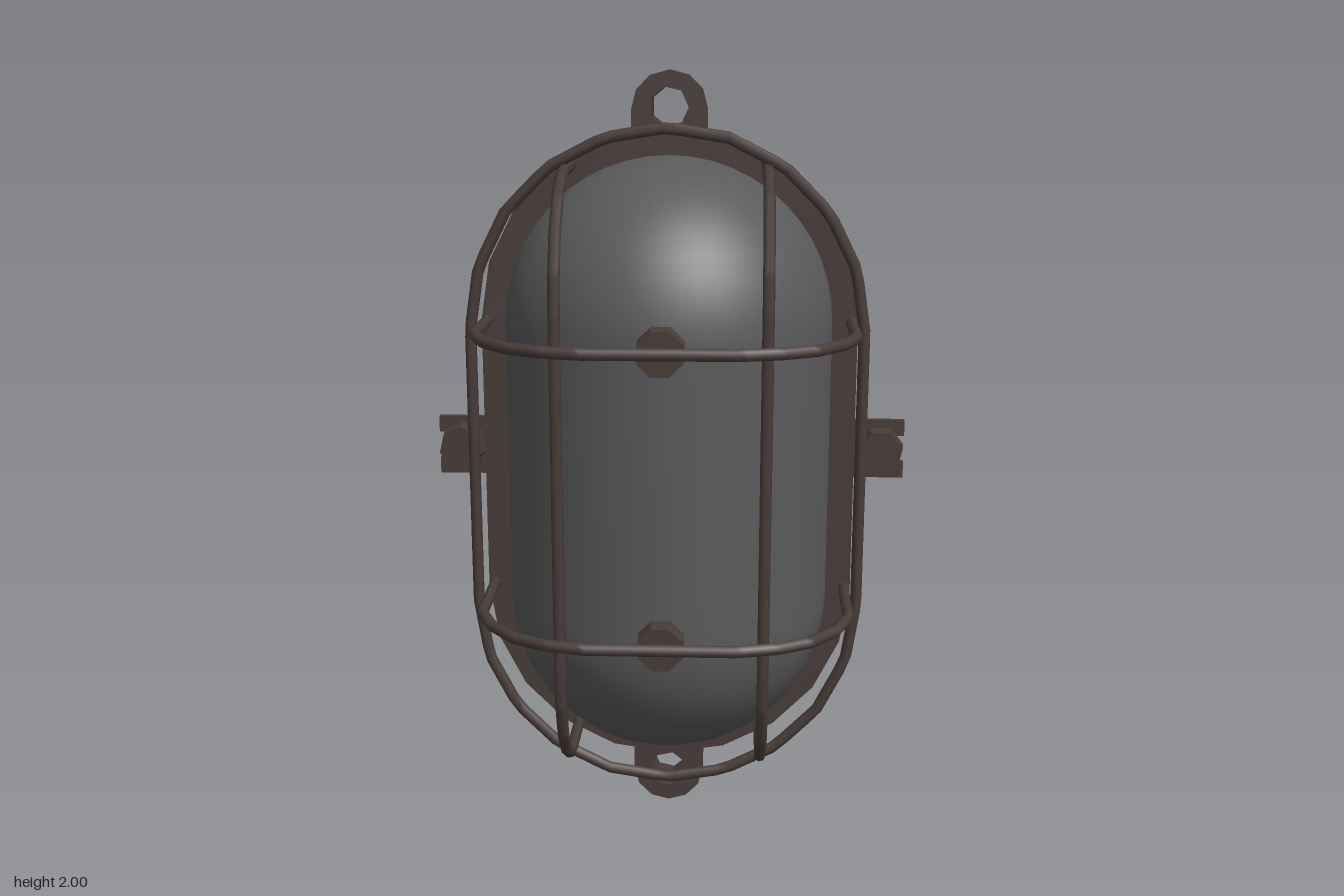
import * as THREE from 'three';

const HALF = 0.365; // half length of the straight sides of every oval
const MID = 1; // height of the lamp's centre

export function createModel() {
  const frame = new THREE.MeshStandardMaterial({ color: 0x483c3a });
  frame.name = 'dark brown metal';
  const glass = new THREE.MeshStandardMaterial({ color: 0x5a5a5c });
  glass.name = 'smoked grey glass';

  const lamp = new THREE.Group();
  lamp.name = 'bulkheadLamp';

  function add(name, geometry, material = frame, parent = lamp) {
    const mesh = new THREE.Mesh(geometry, material);
    mesh.name = name;
    parent.add(mesh);
    return mesh;
  }

  // Outline of an oval with straight sides, centred on the lamp
  function ovalPoints(radius, steps = 10) {
    const points = [];
    for (const side of [1, -1]) {
      for (let i = 0; i <= steps; i++) {
        const a = (i / steps) * Math.PI + (side < 0 ? Math.PI : 0);
        points.push(new THREE.Vector2(radius * Math.cos(a), MID + side * HALF + radius * Math.sin(a)));
      }
    }
    return points;
  }

  function plate(shape, z0, z1) {
    const g = new THREE.ExtrudeGeometry(shape, { depth: z1 - z0, bevelEnabled: false });
    return g.translate(0, 0, z0);
  }

  // Round wire along straight pieces
  function wire(points, closed = false) {
    const path = new THREE.CurvePath();
    const count = closed ? points.length : points.length - 1;
    for (let i = 0; i < count; i++) {
      path.add(new THREE.LineCurve3(points[i], points[(i + 1) % points.length]));
    }
    return new THREE.TubeGeometry(path, 110, 0.015, 7, closed);
  }

  // Housing: back plate, body and front flange
  add('backPlate', plate(new THREE.Shape(ovalPoints(0.49)), -0.326, -0.308));
  add('housingBody', plate(new THREE.Shape(ovalPoints(0.462)), -0.31, -0.21));
  add('frontFlange', plate(new THREE.Shape(ovalPoints(0.492)), -0.216, -0.196));

  // Glass dome: half of a capsule, a little deeper than wide
  const profile = [];
  for (const side of [-1, 1]) {
    for (let i = 0; i <= 12; i++) {
      const a = (side < 0 ? i - 12 : i) / 12 * Math.PI / 2;
      profile.push(new THREE.Vector2(Math.max(0, 0.425 * Math.cos(a)), side * HALF + 0.425 * Math.sin(a)));
    }
  }
  const dome = new THREE.LatheGeometry(profile, 28, -Math.PI / 2, Math.PI);
  dome.scale(1, 1, 0.446 / 0.425).translate(0, MID, -0.197);
  add('glassDome', dome, glass);

  // Cage: oval ring, two upright wires and two cross wires
  const ring = ovalPoints(0.498, 10).map((p) => new THREE.Vector3(p.x, p.y, -0.055));
  add('cageRing', wire(ring, true));

  const uprightHalf = [
    [0.768, -0.2], [0.76, 0.0], [0.745, 0.06], [0.705, 0.13],
    [0.63, 0.2], [0.54, 0.238], [0.45, 0.25],
  ];
  const crossHalf = [
    [0.475, -0.2], [0.472, 0.05], [0.435, 0.145], [0.365, 0.232],
    [0.285, 0.278], [0.185, 0.305],
  ];
  const mirrored = (half) => [...half, ...half.slice().reverse().map(([a, z]) => [-a, z])];
  for (const x of [-0.25, 0.25]) {
    add('cageUpright', wire(mirrored(uprightHalf).map(([y, z]) => new THREE.Vector3(x, MID + y, z))));
  }
  for (const y of [0.64, 1.365]) {
    add('cageCrossWire', wire(mirrored(crossHalf).map(([x, z]) => new THREE.Vector3(x, y, z))));
    // Boss between glass and cross wire
    const boss = new THREE.CylinderGeometry(0.058, 0.062, 0.1, 8).toNonIndexed();
    boss.rotateY(Math.PI / 8).rotateX(Math.PI / 2).translate(0, y, 0.255);
    boss.computeVertexNormals();
    add('cageBoss', boss);
  }

  // Mounting lugs at the top and bottom, each two plates with a sleeve between
  function lugShape(radius) {
    const points = [new THREE.Vector2(-radius, 0.8), new THREE.Vector2(radius, 0.8)];
    for (let i = 0; i <= 6; i++) {
      const a = (i / 6) * Math.PI;
      points.push(new THREE.Vector2(radius * Math.cos(a), 0.904 + radius * Math.sin(a)));
    }
    const shape = new THREE.Shape(points);
    const hole = [];
    for (let i = 0; i < 7; i++) {
      const a = (i / 7) * Math.PI * 2;
      hole.push(new THREE.Vector2(0.05 * Math.cos(a), 0.908 + 0.052 * Math.sin(a)));
    }
    shape.holes.push(new THREE.Path(hole));
    return shape;
  }
  for (const turn of [0, Math.PI]) {
    const lug = new THREE.Group();
    lug.name = turn ? 'bottomLug' : 'topLug';
    add('lugBackPlate', plate(lugShape(0.096), -0.325, -0.307), frame, lug);
    add('lugSleeve', plate(lugShape(0.078), -0.308, -0.214), frame, lug);
    add('lugFrontPlate', plate(lugShape(0.096), -0.215, -0.197), frame, lug);
    lug.position.y = MID;
    lug.rotation.z = turn;
    lamp.add(lug);
  }

  // Slotted side tabs with a bolt head on each
  const tab = new THREE.Shape([
    [0.44, -0.08], [0.635, -0.08], [0.635, -0.036], [0.545, -0.036], [0.525, 0],
    [0.545, 0.036], [0.635, 0.036], [0.635, 0.08], [0.44, 0.08],
  ].map(([x, y]) => new THREE.Vector2(x, y)));
  for (const turn of [0, Math.PI]) {
    const side = new THREE.Group();
    side.name = turn ? 'rightTab' : 'leftTab';
    add('slottedTab', plate(tab, -0.325, -0.306), frame, side);
    const bolt = new THREE.CylinderGeometry(0.06, 0.065, 0.044, 7).toNonIndexed();
    bolt.rotateX(Math.PI / 2).translate(0.57, 0, -0.284);
    bolt.computeVertexNormals();
    add('boltHead', bolt, frame, side);
    side.position.y = MID;
    side.rotation.z = turn;
    lamp.add(side);
  }

  return lamp;
}
